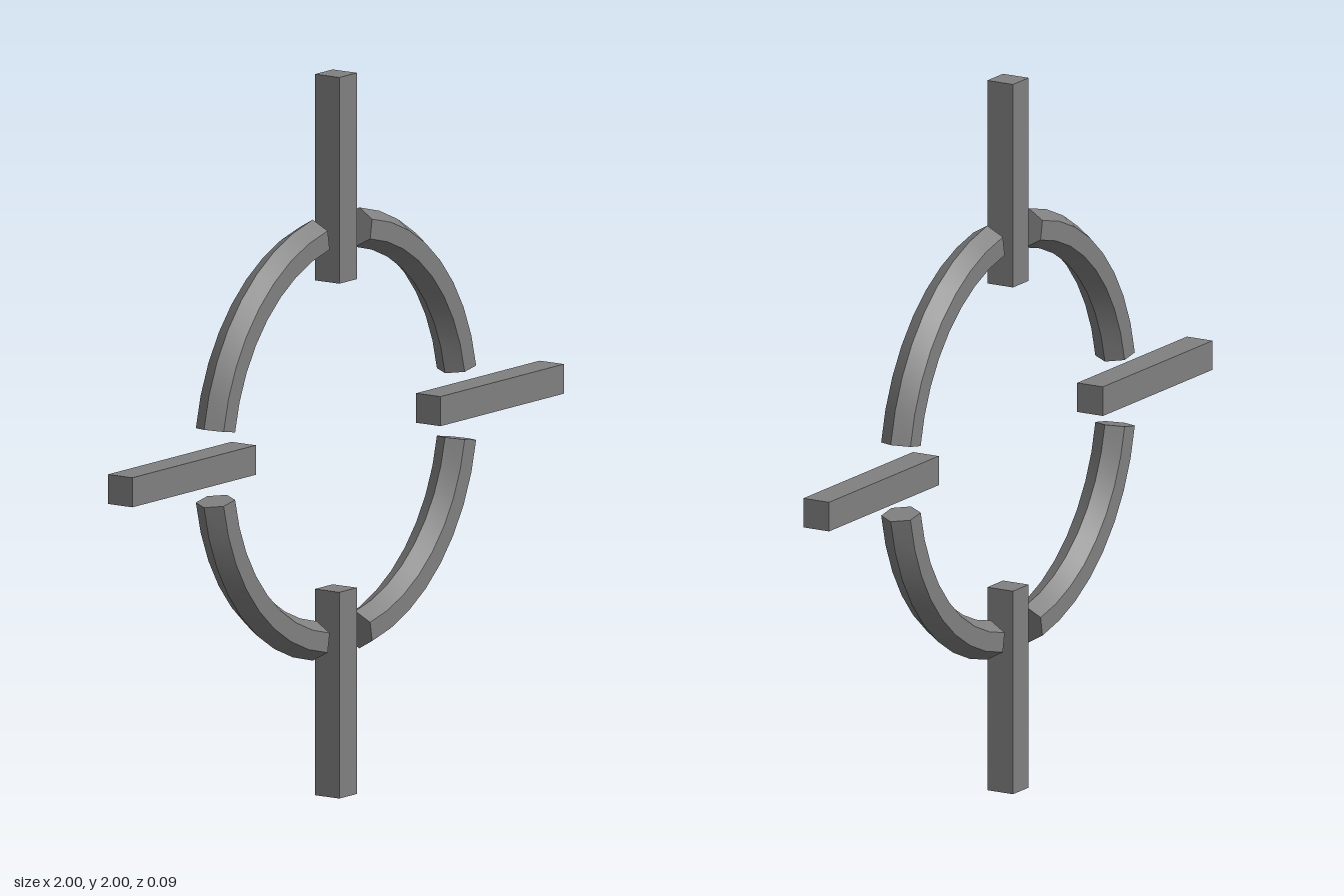
import * as THREE from 'three';
import { toCreasedNormals } from 'three/addons/utils/BufferGeometryUtils.js';

export function createModel() {
  const group = new THREE.Group();
  group.name = 'crosshairRing';
  const material = new THREE.MeshStandardMaterial({ color: 0x808080 });

  // Ring centre height, ring radius, hexagonal tube radius, arc gap
  const centerY = 1, R = 0.567, r = 0.054;
  const gap = THREE.MathUtils.degToRad(10);
  const sweep = Math.PI / 2 - 2 * gap;

  // Smooth along the arc, sharp between the six sides
  const arcGeometry = toCreasedNormals(
    new THREE.TorusGeometry(R, r, 6, 8, sweep).rotateZ(gap), Math.PI / 6);

  // Flat hexagonal caps closing both ends of an arc
  const startCap = new THREE.CircleGeometry(r, 6).translate(R, 0, 0).rotateX(Math.PI / 2).rotateZ(gap);
  const endCap = new THREE.CircleGeometry(r, 6).translate(R, 0, 0).rotateX(-Math.PI / 2).rotateZ(gap + sweep);

  // Square bar reaching inward from the outer edge
  const barLength = 0.572;
  const barGeometry = new THREE.BoxGeometry(barLength, 0.082, 0.082).translate(1 - barLength / 2, 0, 0);

  const barNames = ['leftBar', 'topBar', 'rightBar', 'bottomBar'];
  const arcNames = ['upperLeftArc', 'upperRightArc', 'lowerRightArc', 'lowerLeftArc'];
  for (let i = 0; i < 4; i++) {
    const bar = new THREE.Mesh(barGeometry, material);
    bar.name = barNames[i];

    const arc = new THREE.Group();
    arc.name = arcNames[i];
    const parts = { arcTube: arcGeometry, arcStartCap: startCap, arcEndCap: endCap };
    for (const [name, geometry] of Object.entries(parts)) {
      const mesh = new THREE.Mesh(geometry, material);
      mesh.name = name;
      arc.add(mesh);
    }

    for (const part of [bar, arc]) {
      part.position.y = centerY;
      part.rotation.z = i * Math.PI / 2;
      group.add(part);
    }
  }
  return group;
}
